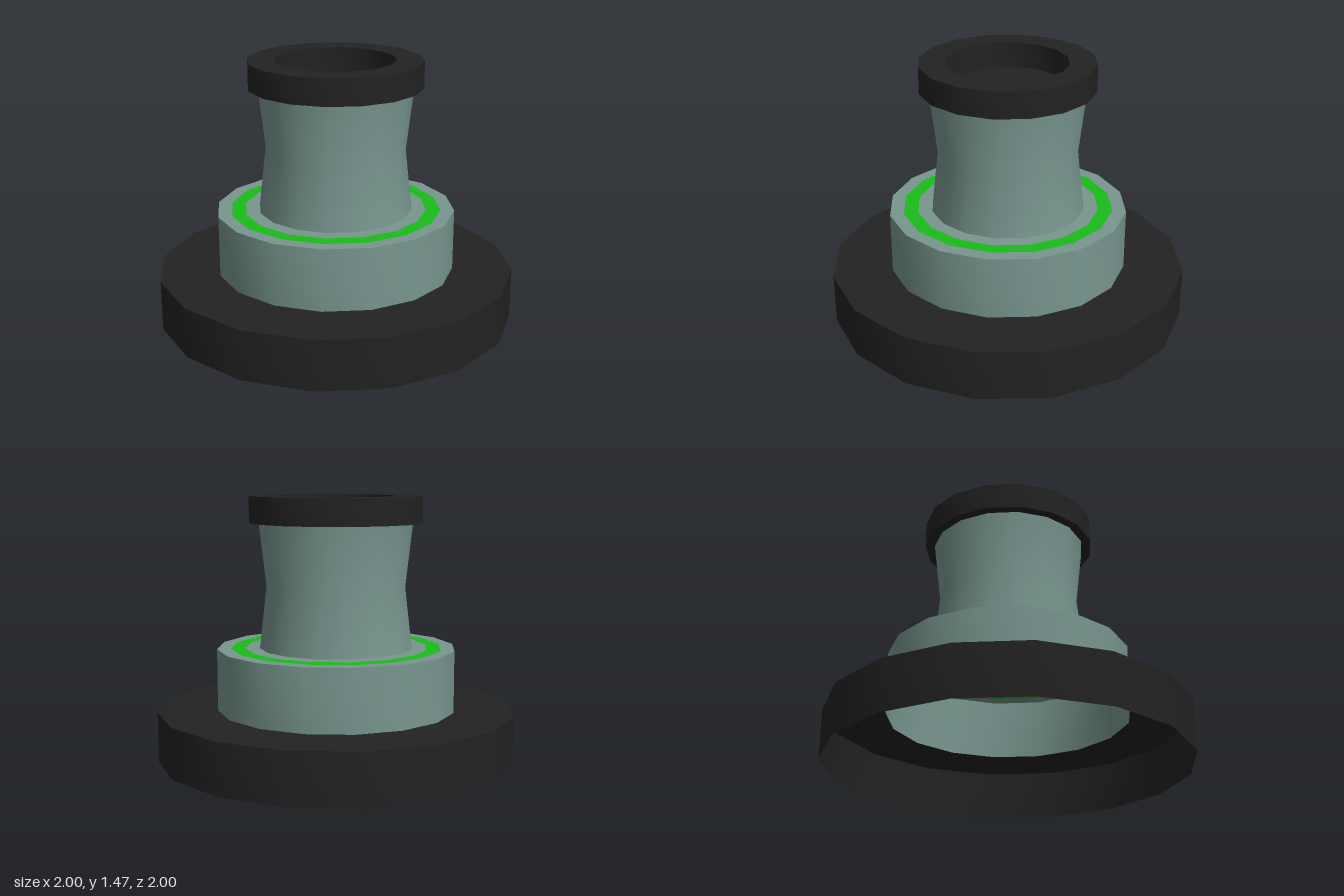
import * as THREE from 'three';
import { toCreasedNormals } from 'three/addons/utils/BufferGeometryUtils.js';

const SIDES = 16;

const material = (color) => new THREE.MeshStandardMaterial({ color, side: THREE.DoubleSide });

// Sixteen-sided turned part from [radius, height] pairs, smooth around, sharp at rims
function turned(name, profile, mat) {
  const points = profile.map(([r, y]) => new THREE.Vector2(r, y));
  const geometry = toCreasedNormals(new THREE.LatheGeometry(points, SIDES), Math.PI / 6);
  const mesh = new THREE.Mesh(geometry, mat);
  mesh.name = name;
  return mesh;
}

export function createModel() {
  const model = new THREE.Group();
  model.name = 'pedestal';
  const black = material(0x222222);
  const teal = material(0x78968f);
  const green = material(0x1abc1a);

  model.add(
    // Wide base, open underneath
    turned('base', [[1, 0], [1, 0.28], [0.667, 0.28]], black),
    // Middle tier with a coloured band set into its top
    turned('tier', [[0.667, 0.28], [0.667, 0.625], [0.59, 0.625]], teal),
    turned('glowRing', [[0.59, 0.625], [0.51, 0.625]], green),
    turned('tierInnerTop', [[0.51, 0.625], [0.43, 0.625]], teal),
    // Waisted neck
    turned('neck', [[0.43, 0.625], [0.39, 0.97], [0.43, 1.32]], teal),
    // Collar with a round recess, its floor level with the underside
    turned('collar', [[0.43, 1.32], [0.483, 1.32], [0.483, 1.467], [0.333, 1.467], [0.333, 1.322]], black),
  );

  // Recess floor, closing the top of the neck
  const floor = new THREE.Mesh(new THREE.CircleGeometry(0.43, SIDES), black);
  floor.name = 'recessFloor';
  floor.rotation.x = -Math.PI / 2;
  floor.position.y = 1.32;
  model.add(floor);

  return model;
}
